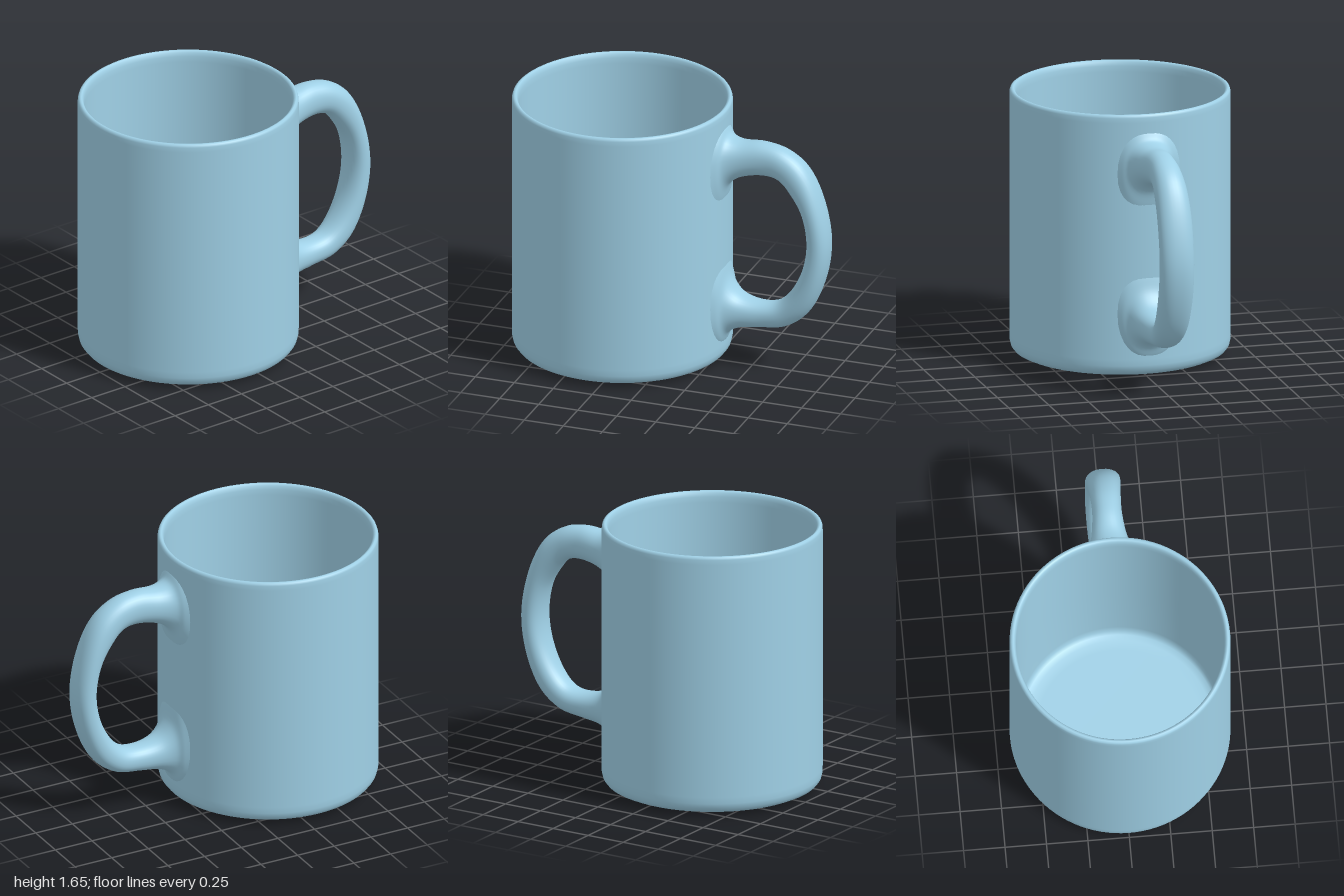
import * as THREE from 'three';

const glaze = new THREE.MeshStandardMaterial({ color: 0x9fd0e6 });
const BODY_X = -0.335;

// Hollow cup: underside, outer wall, rounded rim, inner wall, floor
function makeBody() {
  const profile = [
    [0, 0.004], [0.45, 0.004], [0.5, 0.006], [0.56, 0.012], [0.605, 0.022], [0.64, 0.038],
    [0.657, 0.06], [0.664, 0.09], [0.665, 0.13], [0.665, 0.8], [0.665, 1.6], [0.664, 1.63],
    [0.66, 1.643], [0.65, 1.65], [0.64, 1.648], [0.631, 1.638], [0.626, 1.615], [0.624, 1.58],
    [0.622, 0.8], [0.62, 0.18], [0.612, 0.135], [0.595, 0.11], [0.56, 0.1], [0.5, 0.098], [0, 0.098],
  ].map(([r, y]) => new THREE.Vector2(r, y));
  const body = new THREE.Mesh(new THREE.LatheGeometry(profile, 96), glaze);
  body.name = 'cupBody';
  body.position.x = BODY_X;
  return body;
}

// Handle: rounded sections between an outer and an inner outline, flaring into the wall
function makeHandle() {
  // outer x, outer y, inner x, inner y, half width
  const sections = [
    [0.295, 1.58, 0.295, 0.98, 0.2],
    [0.325, 1.54, 0.325, 1.07, 0.172],
    [0.36, 1.49, 0.36, 1.18, 0.137],
    [0.43, 1.47, 0.43, 1.235, 0.11],
    [0.57, 1.478, 0.58, 1.268, 0.09],
    [0.71, 1.45, 0.68, 1.25, 0.092],
    [0.84, 1.36, 0.76, 1.165, 0.1],
    [0.94, 1.17, 0.83, 1.04, 0.105],
    [0.998, 0.87, 0.857, 0.86, 0.105],
    [0.955, 0.6, 0.825, 0.68, 0.105],
    [0.855, 0.4, 0.74, 0.52, 0.1],
    [0.72, 0.3, 0.66, 0.45, 0.092],
    [0.56, 0.27, 0.55, 0.435, 0.09],
    [0.43, 0.25, 0.43, 0.465, 0.11],
    [0.36, 0.21, 0.36, 0.54, 0.137],
    [0.325, 0.14, 0.325, 0.65, 0.172],
    [0.295, 0.1, 0.295, 0.74, 0.2],
  ];
  const curve = (pick) => new THREE.CatmullRomCurve3(sections.map((s) => new THREE.Vector3(...pick(s))));
  const outer = curve((s) => [s[0], s[1], s[4]]);
  const inner = curve((s) => [s[2], s[3], s[4]]);

  const steps = 96, sides = 32, positions = [], index = [];
  const round = (v) => Math.sign(v) * Math.abs(v) ** 0.9;
  for (let i = 0; i <= steps; i++) {
    const o = outer.getPoint(i / steps), n = inner.getPoint(i / steps);
    for (let j = 0; j < sides; j++) {
      const a = (j / sides) * Math.PI * 2;
      const t = (1 + round(Math.cos(a))) / 2;
      positions.push(n.x + (o.x - n.x) * t, n.y + (o.y - n.y) * t, o.z * round(Math.sin(a)));
      if (i < steps) {
        const k = (j + 1) % sides;
        const p = i * sides + j, q = i * sides + k;
        index.push(p, q, p + sides, q, q + sides, p + sides);
      }
    }
  }
  const geometry = new THREE.BufferGeometry();
  geometry.setAttribute('position', new THREE.Float32BufferAttribute(positions, 3));
  geometry.setIndex(index);
  geometry.computeVertexNormals();
  const handle = new THREE.Mesh(geometry, glaze);
  handle.name = 'handle';
  return handle;
}

export function createModel() {
  const mug = new THREE.Group();
  mug.name = 'mug';
  mug.add(makeBody(), makeHandle());
  return mug;
}
